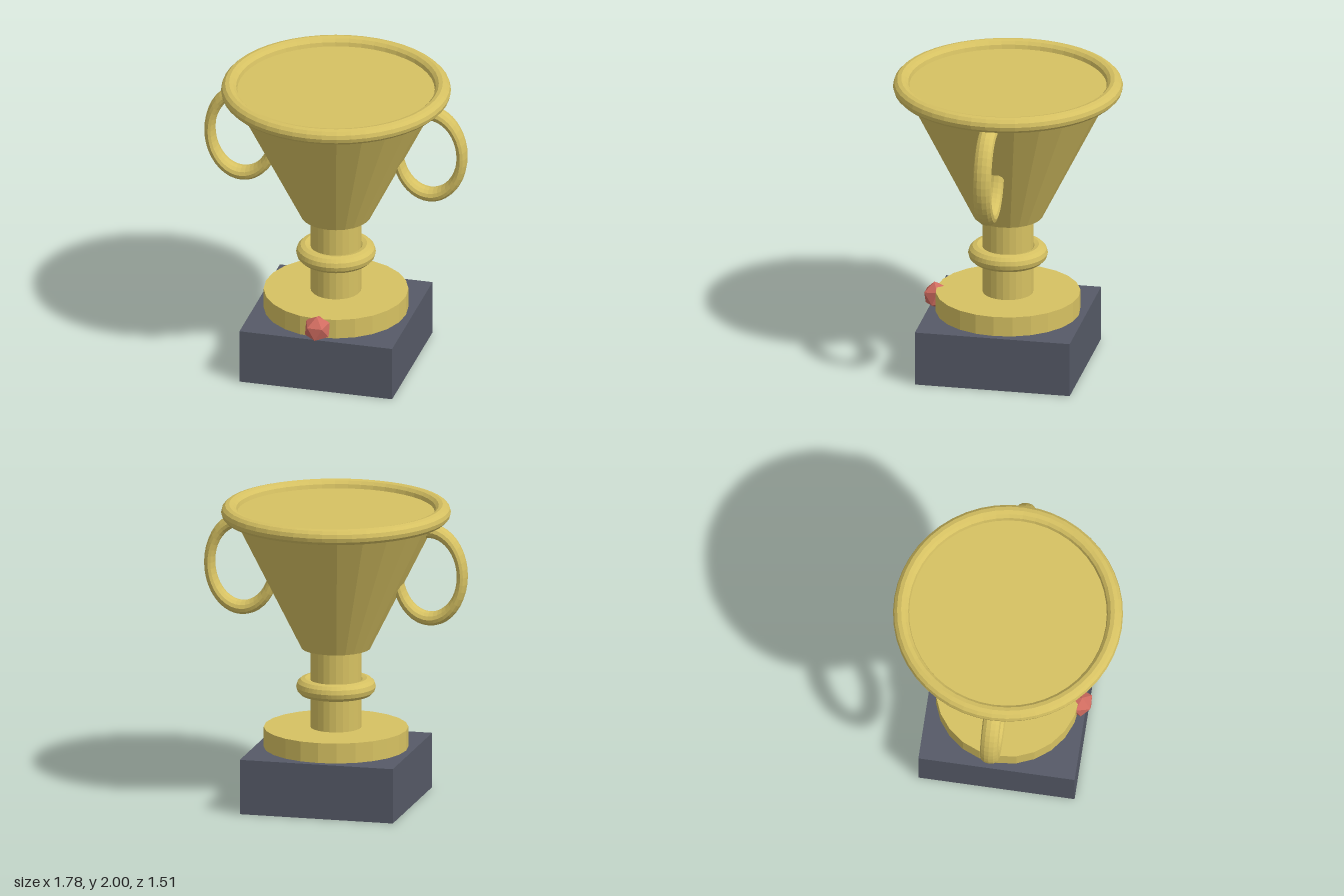
import * as THREE from 'three';

export function createModel() {
  const model = new THREE.Group();
  model.name = 'trophy';

  const paint = (name, color) => {
    const m = new THREE.MeshStandardMaterial({ color, flatShading: true });
    m.name = name;
    return m;
  };
  const gold = paint('gold', 0xd6c162);
  const slate = paint('slate', 0x565a67);
  const red = paint('red', 0xd06c60);

  const add = (name, geometry, material, x = 0, y = 0, z = 0) => {
    const mesh = new THREE.Mesh(geometry, material);
    mesh.name = name;
    mesh.position.set(x, y, z);
    model.add(mesh);
    return mesh;
  };
  // Upright turned part between two heights
  const turned = (name, rBottom, rTop, y0, y1) =>
    add(name, new THREE.CylinderGeometry(rTop, rBottom, y1 - y0, 24), gold, 0, (y0 + y1) / 2);
  // Horizontal ring
  const ring = (name, radius, tube, y) => {
    const mesh = add(name, new THREE.TorusGeometry(radius, tube, 12, 48), gold, 0, y);
    mesh.rotation.x = Math.PI / 2;
  };

  // Square base and round foot
  add('base', new THREE.BoxGeometry(1.034, 0.366, 1.034), slate, 0, 0.183);
  turned('foot', 0.474, 0.474, 0.366, 0.5);

  // Stem with collar
  turned('stem', 0.167, 0.167, 0.5, 1.06);
  ring('collar', 0.203, 0.058, 0.773);

  // Solid cup and rolled rim
  turned('cup', 0.228, 0.687, 1.034, 1.947);
  ring('rim', 0.7, 0.053, 1.947);

  // Oval handles, sunk into the cup
  for (const side of [1, -1]) {
    const handle = add(side > 0 ? 'leftHandle' : 'rightHandle',
      new THREE.TorusGeometry(0.375, 0.06, 12, 40), gold, side * 0.635, 1.563, 0);
    handle.scale.set(0.584, 0.788, 1);
  }

  // Gem on the front of the foot, one facet facing forward
  const gem = add('gem', new THREE.IcosahedronGeometry(0.094, 0), red, 0, 0.433, 0.475);
  gem.rotation.x = 1.206;

  return model;
}
